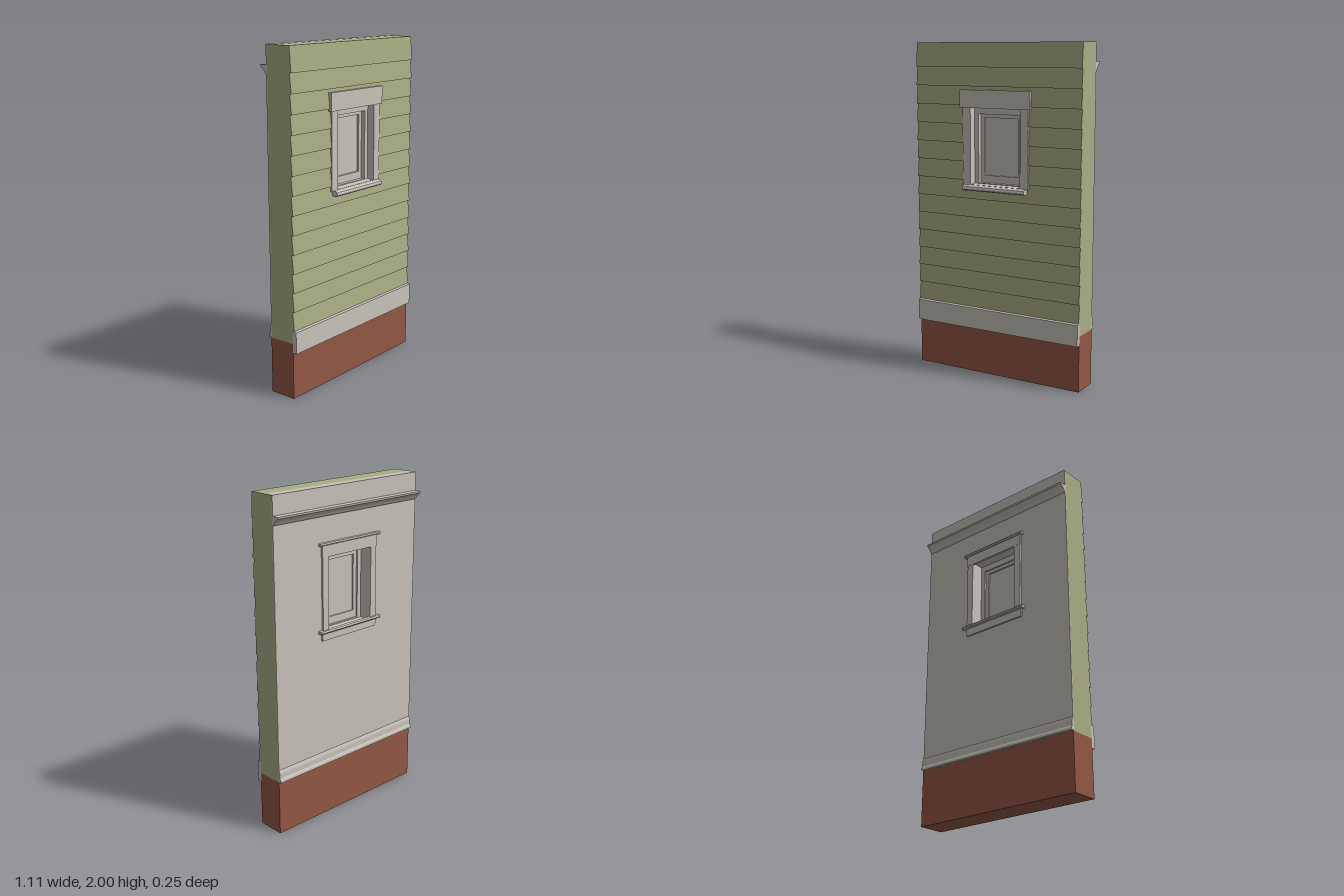
import * as THREE from 'three';

const HALF = 0.555; // half width of the wall section

export function createModel() {
  const model = new THREE.Group();
  model.name = 'wallSection';
  const paint = (name, color) => {
    const m = new THREE.MeshStandardMaterial({ color });
    m.name = name;
    return m;
  };
  const green = paint('sidingGreen', 0xa9ad85);
  const gray = paint('trimGray', 0xc8c4bb);
  const brown = paint('foundationBrown', 0x945844);

  const add = (name, geometry, material, parent = model) => {
    const mesh = new THREE.Mesh(geometry, material);
    mesh.name = name;
    parent.add(mesh);
    return mesh;
  };
  const group = (name) => {
    const g = new THREE.Group();
    g.name = name;
    model.add(g);
    return g;
  };
  // Box from its limits
  const box = (x0, x1, y0, y1, z0, z1) =>
    new THREE.BoxGeometry(x1 - x0, y1 - y0, z1 - z0)
      .translate((x0 + x1) / 2, (y0 + y1) / 2, (z0 + z1) / 2);
  // Profile of [z, y] points swept along x
  const sweep = (points, x0, x1) => {
    const shape = new THREE.Shape(points.map(([z, y]) => new THREE.Vector2(z, y)));
    return new THREE.ExtrudeGeometry(shape, { depth: x1 - x0, bevelEnabled: false })
      .rotateY(-Math.PI / 2).translate(x1, 0, 0);
  };
  // Upright plate with a rectangular hole; limits are [halfWidth, y0, y1]
  const rect = (path, [w, y0, y1]) =>
    path.moveTo(-w, y0).lineTo(w, y0).lineTo(w, y1).lineTo(-w, y1).closePath();
  const frame = (outer, inner, z0, z1) => {
    const shape = rect(new THREE.Shape(), outer);
    shape.holes.push(rect(new THREE.Path(), inner));
    return new THREE.ExtrudeGeometry(shape, { depth: z1 - z0, bevelEnabled: false })
      .translate(0, 0, z0);
  };

  const rough = [0.18, 1.15, 1.632];   // hole through the wall
  const clear = [0.168, 1.165, 1.62];  // opening inside the jambs

  // Wall body
  add('foundation', box(-HALF, HALF, 0, 0.335, -0.084, 0.083), brown);
  add('wallCore', frame([HALF, 0.335, 1.999], rough, -0.078, 0.08), green);
  add('interiorPlaster', frame([HALF, 0.335, 1.999], rough, -0.085, -0.078), gray);
  add('topPlate', box(-HALF, HALF, 1.999, 2, -0.085, -0.029), gray);

  // Lapped siding, each board thicker at its lower edge, cut around the window
  const siding = group('siding');
  const pitch = 0.111;
  for (let i = 0; i < 14; i++) {
    const low = 0.413 + i * pitch;
    const high = i === 13 ? 1.999 : low + pitch;
    const zAt = (y) => THREE.MathUtils.lerp(0.094, 0.083, (y - low) / (high - low));
    const piece = (x0, x1, y0, y1) => add('sidingBoard',
      sweep([[0.08, y0], [zAt(y0), y0], [zAt(y1), y1], [0.08, y1]], x0, x1), green, siding);
    const [w, y0, y1] = rough;
    if (high <= y0 || low >= y1) {
      piece(-HALF, HALF, low, high);
    } else {
      piece(-HALF, -w, low, high);
      piece(w, HALF, low, high);
      if (low < y0) piece(-w, w, low, y0);
      if (high > y1) piece(-w, w, y1, high);
    }
  }

  // Exterior water table board
  add('waterTable', sweep([[0.08, 0.28], [0.107, 0.28], [0.107, 0.408], [0.08, 0.413]],
    -HALF, HALF), gray);

  // Interior mouldings
  add('crownMoulding', sweep([[-0.085, 1.89], [-0.128, 1.89], [-0.126, 1.879], [-0.115, 1.872],
    [-0.1, 1.856], [-0.093, 1.845], [-0.085, 1.838]], -HALF, HALF), gray);
  add('baseboard', sweep([[-0.085, 0.413], [-0.089, 0.408], [-0.093, 0.393], [-0.093, 0.362],
    [-0.099, 0.352], [-0.101, 0.337], [-0.085, 0.337]], -HALF, HALF), gray);

  // Window: jamb liner, stops, sash and pane
  const window = group('window');
  add('jambLiner', frame(rough, clear, -0.086, 0.096), gray, window);
  const stopInner = [0.14, 1.172, 1.582];
  add('windowStop', frame(clear, stopInner, -0.015, 0.05), gray, window);
  add('sash', frame(stopInner, [0.115, 1.217, 1.56], -0.005, 0.024), gray, window);
  add('pane', box(-0.115, 0.115, 1.217, 1.56, 0.004, 0.012), gray, window);

  // Exterior casing
  add('exteriorHeadCasing', box(-0.237, 0.237, 1.62, 1.725, 0.08, 0.105), gray, window);
  for (const s of [-1, 1]) {
    const edges = [0.168 * s, 0.222 * s].sort((a, b) => a - b);
    add('exteriorSideCasing', box(...edges, 1.16, 1.62, 0.08, 0.097), gray, window);
    const inner = [0.168 * s, 0.212 * s].sort((a, b) => a - b);
    add('interiorSideCasing', box(...inner, 1.182, 1.61, -0.097, -0.085), gray, window);
  }
  add('exteriorSill', sweep([[0.05, 1.135], [0.118, 1.132], [0.125, 1.137], [0.127, 1.146],
    [0.124, 1.156], [0.115, 1.161], [0.05, 1.168]], -0.168, 0.168), gray, window);
  add('sillNose', sweep([[0.08, 1.133], [0.118, 1.131], [0.125, 1.137], [0.127, 1.146],
    [0.124, 1.156], [0.115, 1.162], [0.08, 1.165]], -0.21, 0.21), gray, window);

  // Interior casing
  add('interiorHeadCasing', box(-0.215, 0.215, 1.61, 1.678, -0.098, -0.085), gray, window);
  add('interiorHeadCap', sweep([[-0.085, 1.676], [-0.104, 1.676], [-0.109, 1.684],
    [-0.106, 1.692], [-0.085, 1.692]], -0.235, 0.235), gray, window);
  add('interiorStool', sweep([[-0.085, 1.167], [-0.11, 1.167], [-0.116, 1.175],
    [-0.11, 1.183], [-0.085, 1.183]], -0.238, 0.238), gray, window);
  add('interiorApron', box(-0.215, 0.215, 1.12, 1.167, -0.095, -0.085), gray, window);

  return model;
}
